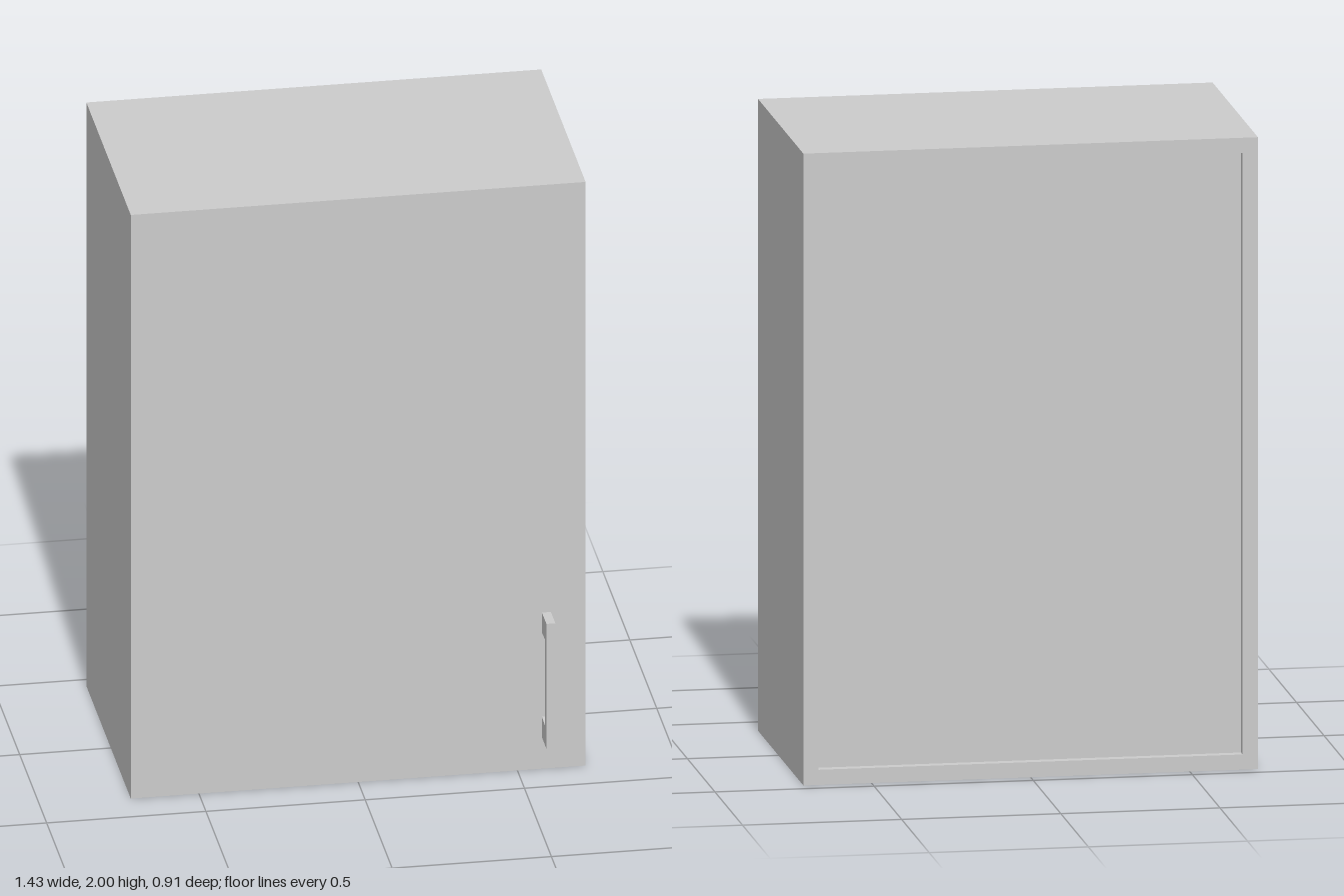
import * as THREE from 'three';

const W = 0.714, H = 2, FRONT = 0.37, BACK = -0.453;
const RIM = 0.048, RECESS = 0.03;
const material = new THREE.MeshStandardMaterial({ color: 0xcccccc });

// Four corners of a rectangle inset from the cabinet outline, counter-clockwise from the front
function ring(inset, z) {
  const x = W - inset, y0 = inset, y1 = H - inset;
  return [[-x, y0, z], [x, y0, z], [x, y1, z], [-x, y1, z]];
}

// Flat-faced skin through successive rings, with a cap at both ends
function skinRings(rings) {
  const positions = [];
  const quad = (a, b, c, d) => positions.push(...a, ...b, ...c, ...a, ...c, ...d);
  quad(...rings[0]);
  for (let r = 0; r < rings.length - 1; r++) {
    const near = rings[r], far = rings[r + 1];
    for (let i = 0; i < 4; i++) {
      const j = (i + 1) % 4;
      quad(near[i], far[i], far[j], near[j]);
    }
  }
  quad(...[...rings[rings.length - 1]].reverse());
  const geometry = new THREE.BufferGeometry();
  geometry.setAttribute('position', new THREE.Float32BufferAttribute(positions, 3));
  geometry.computeVertexNormals();
  return geometry;
}

export function createModel() {
  const group = new THREE.Group();
  group.name = 'wallCabinet';

  // Carcass with flush door front, back rim and recessed back panel
  const cabinet = new THREE.Mesh(skinRings([
    ring(0, FRONT), ring(0, BACK), ring(RIM, BACK), ring(RIM, BACK + RECESS),
  ]), material);
  cabinet.name = 'cabinetBody';
  group.add(cabinet);

  // Bracket-shaped pull: side profile (depth, height) extruded across its width
  const profile = new THREE.Shape([
    [0, 0.107], [0.083, 0.107], [0.083, 0.535], [0, 0.535],
    [0, 0.465], [0.06, 0.47], [0.06, 0.174], [0, 0.179],
  ].map(([d, y]) => new THREE.Vector2(d, y)));
  const width = 0.028;
  const handleGeometry = new THREE.ExtrudeGeometry(profile, { depth: width, bevelEnabled: false });
  handleGeometry.translate(0, 0, -width / 2);
  handleGeometry.rotateY(-Math.PI / 2);
  const handle = new THREE.Mesh(handleGeometry, material);
  handle.name = 'doorHandle';
  handle.position.set(0.591, 0, FRONT);
  group.add(handle);

  return group;
}
